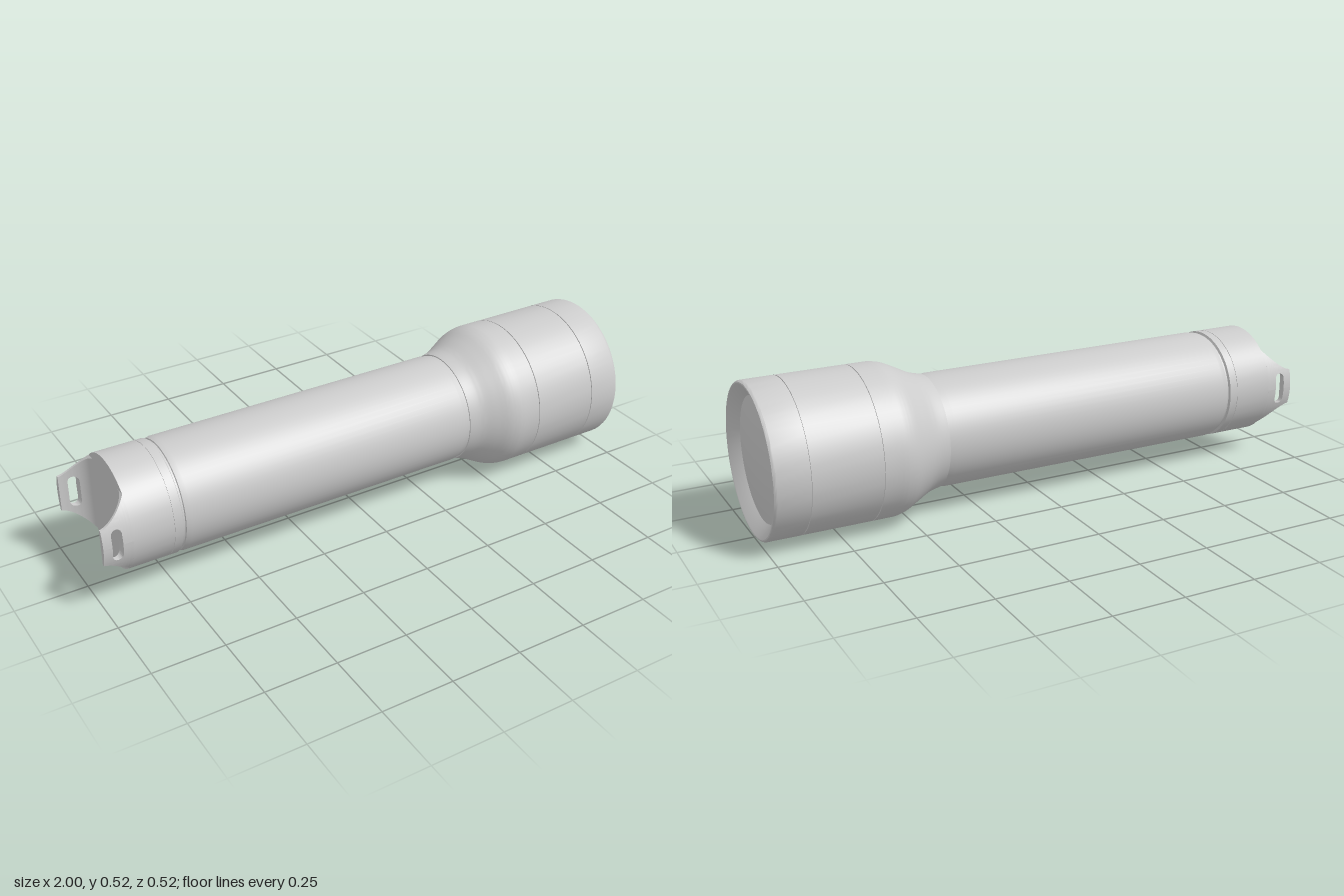
import * as THREE from 'three';
import { toCreasedNormals } from 'three/addons/utils/BufferGeometryUtils.js';

const AXIS_Y = 0.262; // height of the long axis
const R = 0.195;      // barrel radius
const HEAD = 0.262;   // head radius

const material = new THREE.MeshStandardMaterial({ color: 0xcccccc, side: THREE.DoubleSide });

function addMesh(group, name, geometry) {
  const mesh = new THREE.Mesh(toCreasedNormals(geometry, 0.6), material);
  mesh.name = name;
  group.add(mesh);
}

// Turned part along x from [x, radius] pairs
function turned(profile) {
  const points = profile.map(([x, r]) => new THREE.Vector2(r, x));
  return new THREE.LatheGeometry(points, 64).rotateZ(-Math.PI / 2);
}

// Narrow groove cut at x into a radius
const groove = (x, r, w, d) => [[x - w, r], [x - w, r - d], [x + w, r - d], [x + w, r]];

// Half of a lanyard lug, lofted along x: curved outside, filleted inside, half a slot
function lugHalf(sy, sz) {
  const slotX = -0.952, slotR = 0.018, slotStraight = 0.039, n = 8, L = 2 * (n + 1);
  const columns = []; // [x, lower edge of the half]
  for (let i = 0; i <= 4; i++) columns.push([-1 + (slotX - slotR + 1) * i / 4, 0]);
  for (let i = 0; i <= 10; i++) {
    const a = Math.PI * (1 - i / 10);
    columns.push([slotX + slotR * Math.cos(a), slotStraight + slotR * Math.sin(a)]);
  }
  for (let i = 0; i <= 10; i++) {
    columns.push([slotX + slotR + (-0.9 - slotX - slotR) * Math.sin(i / 10 * Math.PI / 2), 0]);
  }
  const pos = [], index = [];
  const tri = (a, b, c) => (sy * sz > 0 ? index.push(a, b, c) : index.push(a, c, b));
  for (const [x, low] of columns) {
    const t = Math.min(1, Math.max(0, (x + 1) / 0.1));
    const high = 0.065 + 0.075 * t ** 1.5;
    const inner = 0.1 + 0.074 * Math.sqrt(1 - t * t);
    for (let k = 0; k < L; k++) {
      const y = low + (high - low) * (k <= n ? k : L - 1 - k) / n;
      const outer = Math.sqrt(R * R - y * y);
      const z = k <= n ? outer : Math.min(inner, outer - 0.006);
      pos.push(x, y * sy, z * sz);
    }
  }
  for (let i = 0; i < columns.length - 1; i++) {
    for (let k = 0; k < L; k++) {
      const a = i * L + k, b = i * L + (k + 1) % L;
      tri(a, a + L, b);
      tri(b, a + L, b + L);
    }
  }
  // Tip face
  for (let k = 0; k < n; k++) {
    tri(k, k + 1, L - 2 - k);
    tri(k, L - 2 - k, L - 1 - k);
  }
  const g = new THREE.BufferGeometry();
  g.setAttribute('position', new THREE.Float32BufferAttribute(pos, 3));
  g.setIndex(index);
  return g;
}

export function createModel() {
  const model = new THREE.Group();
  model.name = 'flashlight';
  const torch = new THREE.Group();
  torch.name = 'torchBody';
  torch.position.y = AXIS_Y;
  model.add(torch);

  // Tail cap with flat end, a fine seam and a groove before the barrel
  addMesh(torch, 'tailCap', turned([
    [-0.9, 0], [-0.9, R], ...groove(-0.76, R, 0.001, 0.002),
    [-0.73, R], [-0.726, R - 0.008], [-0.72, R - 0.008],
  ]));

  // Two slotted lugs on the tail
  for (const sz of [1, -1]) {
    const lug = new THREE.Group();
    lug.name = sz > 0 ? 'frontLug' : 'backLug';
    torch.add(lug);
    addMesh(lug, 'lugUpperHalf', lugHalf(1, sz));
    addMesh(lug, 'lugLowerHalf', lugHalf(-1, sz));
  }

  // Barrel
  addMesh(torch, 'barrel', turned([
    [-0.72, R - 0.008], [-0.718, R - 0.004], [-0.7, R],
    [0.36, R], [0.38, R - 0.004], [0.384, R - 0.004],
  ]));

  // Head: flared neck, two seams, rounded rim, sloped bezel
  const flare = new THREE.SplineCurve([
    [0.384, 0.195], [0.43, 0.207], [0.48, 0.232], [0.52, 0.252], [0.555, 0.261], [0.59, HEAD],
  ].map(([x, r]) => new THREE.Vector2(x, r))).getPoints(30).map((p) => [p.x, Math.min(p.y, HEAD)]);
  addMesh(torch, 'head', turned([
    [0.384, R - 0.004], ...flare,
    ...groove(0.64, HEAD, 0.0015, 0.004),
    ...groove(0.88, HEAD, 0.0015, 0.004),
    [0.99, HEAD], [0.995, 0.2605], [0.999, 0.257], [1, 0.253], [0.998, 0.249],
    [0.965, 0.21],
  ]));

  // Slightly domed lens
  const lens = [];
  for (let i = 0; i <= 10; i++) {
    const r = 0.21 * (1 - i / 10);
    lens.push([0.965 + 0.02 * (1 - (r / 0.21) ** 2), r]);
  }
  addMesh(torch, 'lens', turned(lens));

  return model;
}
